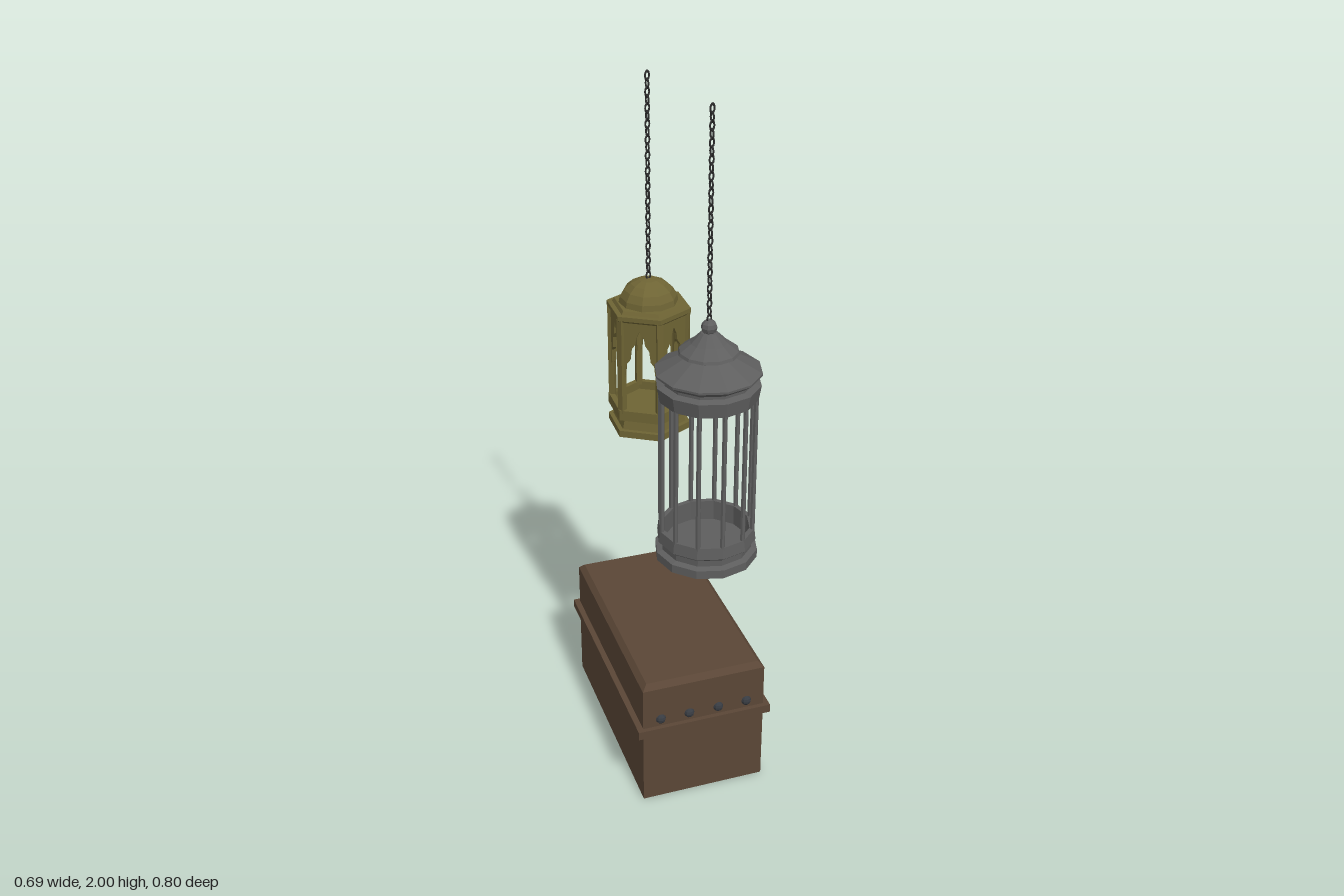
import * as THREE from 'three';

const paint = (color) => new THREE.MeshStandardMaterial({ color, flatShading: true, side: THREE.DoubleSide });
const wood = paint(0x5a4636);
const iron = paint(0x383c42);
const steel = paint(0x5e5e5e);
const brass = paint(0x6e6434);
const chainMat = paint(0x2c2c2c);

function add(parent, name, geometry, material, x = 0, y = 0, z = 0) {
  const mesh = new THREE.Mesh(geometry, material);
  mesh.name = name;
  mesh.position.set(x, y, z);
  parent.add(mesh);
  return mesh;
}

function lathe(parent, name, points, sides, material) {
  return add(parent, name, new THREE.LatheGeometry(points.map((p) => new THREE.Vector2(...p)), sides), material);
}

// Rod between two points
function rod(parent, name, a, b, radius, material, sides = 8) {
  const from = new THREE.Vector3(...a), to = new THREE.Vector3(...b);
  const mesh = add(parent, name, new THREE.CylinderGeometry(radius, radius, from.distanceTo(to), sides), material);
  mesh.position.copy(from).lerp(to, 0.5);
  mesh.quaternion.setFromUnitVectors(new THREE.Vector3(0, 1, 0), to.sub(from).normalize());
  return mesh;
}

// Chain of links turned alternately by a quarter turn
function chain(parent, bottom, top) {
  const group = new THREE.Group();
  group.name = 'chain';
  const count = 27, step = (top - bottom) / count;
  const link = new THREE.TorusGeometry(0.0068, 0.0026, 5, 10);
  link.scale(1, (step * 0.5 + 0.0045) / 0.0094, 1);
  for (let i = 0; i < count; i++) {
    const mesh = add(group, 'chainLink', link, chainMat, 0, bottom + step * (i + 0.5), 0);
    mesh.rotation.y = Math.PI / 4 + (i % 2) * Math.PI / 2;
  }
  parent.add(group);
}

function makeTrunk() {
  const trunk = new THREE.Group();
  trunk.name = 'trunk';
  trunk.rotation.y = Math.PI / 6;
  const hx = 0.183, hz = 0.333;
  add(trunk, 'trunkBody', new THREE.BoxGeometry(hx * 2, 0.24, hz * 2), wood, 0, 0.12, 0);
  add(trunk, 'trunkRim', new THREE.BoxGeometry(0.4, 0.026, 0.693), wood, 0, 0.247, 0);
  add(trunk, 'trunkLid', new THREE.BoxGeometry(hx * 2, 0.135, hz * 2), wood, 0, 0.3225, 0);
  // Chamfered top of the lid
  const cap = new THREE.BoxGeometry(hx * 2, 0.016, hz * 2);
  const pos = cap.attributes.position;
  for (let i = 0; i < pos.count; i++) {
    if (pos.getY(i) > 0) {
      pos.setX(i, Math.sign(pos.getX(i)) * (hx - 0.015));
      pos.setZ(i, Math.sign(pos.getZ(i)) * (hz - 0.015));
    }
  }
  cap.computeVertexNormals();
  add(trunk, 'lidChamfer', cap, wood, 0, 0.398, 0);

  // Rivets along the front and both ends
  const rivet = new THREE.SphereGeometry(0.015, 8, 6);
  for (const s of [-1, 1]) {
    for (const d of [0.08, 0.15, 0.22, 0.29]) {
      add(trunk, 'rivet', rivet, iron, hx, 0.284, s * d).scale.x = 0.75;
    }
    for (const x of [-0.13, -0.044, 0.044, 0.13]) {
      add(trunk, 'rivet', rivet, iron, x, 0.284, s * hz).scale.z = 0.75;
    }
  }

  // Latch: hinge plate and tapered clasp
  add(trunk, 'latchPlate', new THREE.BoxGeometry(0.014, 0.034, 0.116), iron, hx + 0.005, 0.278, 0);
  const clasp = new THREE.Shape([[-0.028, 0.285], [0.028, 0.285], [0.028, 0.245], [0.02, 0.215],
    [0, 0.205], [-0.02, 0.215], [-0.028, 0.245]].map((p) => new THREE.Vector2(...p)));
  const claspMesh = add(trunk, 'latchClasp', new THREE.ExtrudeGeometry(clasp, { depth: 0.014, bevelEnabled: false }), iron, 0.2, 0, 0);
  claspMesh.rotation.y = Math.PI / 2;
  add(trunk, 'latchCatch', new THREE.BoxGeometry(0.028, 0.05, 0.08), iron, hx + 0.008, 0.222, 0).scale.y = 0.8;
  const knob = rod(trunk, 'latchKnob', [0.205, 0.25, 0], [0.222, 0.25, 0], 0.018, iron);
  knob.rotation.x += 0.2;

  // Carrying handle
  const zc = -0.01, half = 0.154;
  for (const s of [-1, 1]) {
    const z = zc + s * half;
    rod(trunk, 'handlePlate', [hx - 0.005, 0.168, z], [hx + 0.009, 0.168, z], 0.036, iron, 10);
    add(trunk, 'handlePlateTab', new THREE.BoxGeometry(0.014, 0.07, 0.03), iron, hx + 0.002, 0.17, z - s * 0.025);
    rod(trunk, 'handleArm', [hx, 0.16, z], [0.226, 0.135, z], 0.011, iron);
    add(trunk, 'handleKnob', new THREE.SphereGeometry(0.019, 10, 8), iron, 0.226, 0.134, z);
  }
  rod(trunk, 'handleBar', [0.226, 0.13, zc - half], [0.226, 0.13, zc + half], 0.008, iron);
  return trunk;
}

function makeCage() {
  const cage = new THREE.Group();
  cage.name = 'roundCage';
  cage.position.set(0.138, 0, 0.129);
  lathe(cage, 'cageBase', [[0, 0.72], [0.145, 0.72], [0.145, 0.745], [0.128, 0.75], [0.128, 0.768],
    [0.14, 0.778], [0.136, 0.812], [0.122, 0.812], [0.122, 0.752], [0, 0.752]], 12, steel);
  lathe(cage, 'cageTopBand', [[0.122, 1.26], [0.122, 1.213], [0.136, 1.213], [0.143, 1.255], [0.122, 1.26]], 12, steel);
  lathe(cage, 'cageRoof', [[0, 1.255], [0.122, 1.255], [0.122, 1.268], [0.145, 1.285], [0.145, 1.291], [0.067, 1.332],
    [0.067, 1.338], [0.083, 1.34], [0.08, 1.348], [0.05, 1.37], [0.022, 1.398], [0, 1.4]], 12, steel);
  add(cage, 'cageFinial', new THREE.SphereGeometry(0.022, 8, 6), steel, 0, 1.412, 0);
  for (let i = 0; i < 12; i++) {
    const a = i * Math.PI / 6, x = Math.sin(a) * 0.13, z = Math.cos(a) * 0.13;
    rod(cage, 'cageBar', [x, 0.8, z], [x, 1.225, z], 0.007, steel, 6);
  }
  chain(cage, 1.425, 2);
  return cage;
}

function makeLantern() {
  const lantern = new THREE.Group();
  lantern.name = 'hexagonalLantern';
  lantern.position.set(-0.08, 0, -0.135);
  const frame = new THREE.Group();
  frame.name = 'lanternFrame';
  frame.rotation.y = Math.PI / 2 - 0.035;
  lantern.add(frame);
  lathe(frame, 'lanternBase', [[0, 0.97], [0.122, 0.97], [0.122, 0.99], [0.108, 0.99], [0.1, 1.022],
    [0.122, 1.024], [0.122, 1.055], [0.104, 1.055], [0.104, 1.03], [0, 1.03]], 6, brass);
  lathe(frame, 'lanternRoofSlab', [[0, 1.325], [0.112, 1.325], [0.122, 1.333], [0.122, 1.346], [0.106, 1.346],
    [0.1, 1.356], [0, 1.36]], 6, brass);

  // Scalloped arch filling the head of each opening
  const side = [[0.05, 1.15], [0.044, 1.16], [0.04, 1.2], [0.03, 1.212], [0.026, 1.245], [0.014, 1.262], [0.011, 1.282]];
  const outline = [[-0.055, 1.335], [-0.055, 1.13], ...side.map(([x, y]) => [-x, y]), [0, 1.305],
    ...side.slice().reverse(), [0.055, 1.13], [0.055, 1.335]];
  const arch = new THREE.ExtrudeGeometry(new THREE.Shape(outline.map((p) => new THREE.Vector2(...p))),
    { depth: 0.01, bevelEnabled: false });
  for (let i = 0; i < 6; i++) {
    const a = i * Math.PI / 3, b = a + Math.PI / 6;
    const post = add(frame, 'lanternPost', new THREE.BoxGeometry(0.018, 0.29, 0.018), brass,
      Math.sin(a) * 0.109, 1.19, Math.cos(a) * 0.109);
    post.rotation.y = a;
    const panel = add(frame, 'lanternArch', arch, brass, Math.sin(b) * 0.088, 0, Math.cos(b) * 0.088);
    panel.rotation.y = b;
  }

  // Faceted dome
  const dome = [];
  for (let i = 0; i <= 5; i++) {
    const t = i / 5 * Math.PI / 2;
    dome.push([0.085 * Math.cos(t), 1.35 + 0.075 * Math.sin(t)]);
  }
  lathe(lantern, 'lanternDome', dome, 10, brass);
  chain(lantern, 1.422, 2);
  return lantern;
}

export function createModel() {
  const model = new THREE.Group();
  model.name = 'trunkWithHangingLanterns';
  model.add(makeTrunk(), makeCage(), makeLantern());
  return model;
}
